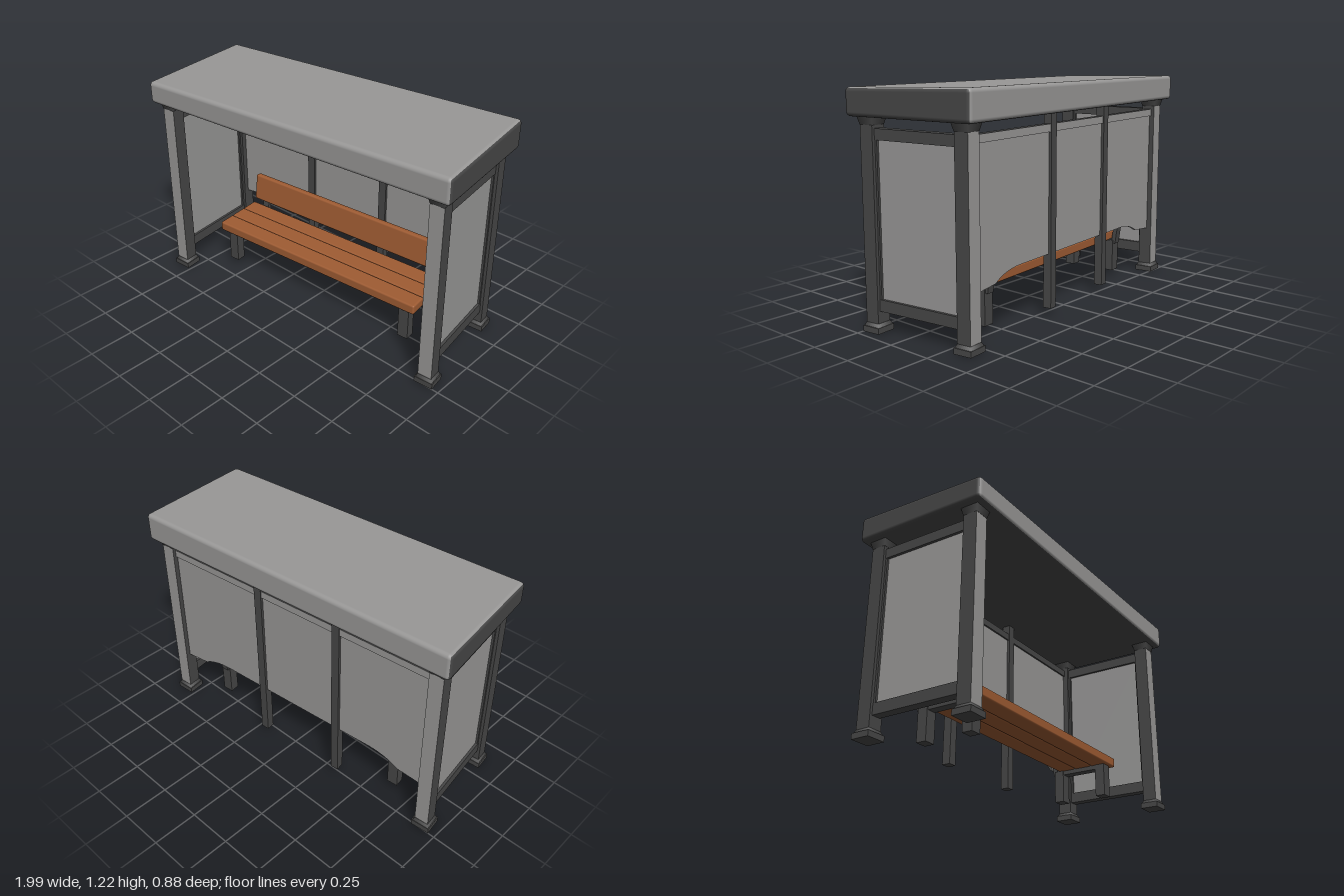
import * as THREE from 'three';
import { RoundedBoxGeometry } from 'three/addons/geometries/RoundedBoxGeometry.js';

const material = (name, color) => {
  const m = new THREE.MeshStandardMaterial({ color });
  m.name = name;
  return m;
};

export function createModel() {
  const light = material('light grey', 0x999897);
  const dark = material('dark grey', 0x474747);
  const wood = material('brown wood', 0x9f5c33);

  // The whole shelter stands slightly turned and skewed in plan
  const plan = new THREE.Matrix4().makeBasis(
    new THREE.Vector3(1, 0, -0.083),
    new THREE.Vector3(0, 1, 0),
    new THREE.Vector3(0.137, 0, 0.99));

  const model = new THREE.Group();
  model.name = 'shelter';

  const add = (name, geometry, mat, parent = model) => {
    geometry.applyMatrix4(plan);
    const mesh = new THREE.Mesh(geometry, mat);
    mesh.name = name;
    parent.add(mesh);
    return mesh;
  };
  const box = (name, mat, w, h, d, x, y, z, parent) =>
    add(name, new THREE.BoxGeometry(w, h, d).translate(x, y, z), mat, parent);
  const group = (name) => {
    const g = new THREE.Group();
    g.name = name;
    model.add(g);
    return g;
  };

  // Roof slab: dark ends and underside, top rising gently to the back
  const roof = new RoundedBoxGeometry(1.9, 0.14, 0.735, 3, 0.022);
  const p = roof.attributes.position;
  for (let i = 0; i < p.count; i++) {
    const rise = p.getY(i) > 0 ? 0.008 * p.getX(i) - 0.025 * p.getZ(i) : 0;
    p.setY(i, p.getY(i) + 1.132 + rise);
  }
  add('roof', roof, [dark, dark, light, dark, light, light]);

  // Corner posts: light on the outward front or back face, with feet and caps
  for (const sx of [-1, 1]) {
    for (const sz of [-1, 1]) {
      const post = group((sz > 0 ? 'front' : 'back') + (sx > 0 ? 'Left' : 'Right') + 'Post');
      const faces = [dark, dark, dark, dark, sz > 0 ? light : dark, sz < 0 ? light : dark];
      const x = sx * 0.865, z = sz * 0.28;
      box('shaft', faces, 0.078, 1.04, 0.076, x, 0.55, z, post);
      box('foot', dark, 0.105, 0.03, 0.1, x, 0.015, z, post);
      const collar = new THREE.CylinderGeometry(0.055, 0.068, 0.02, 4, 1)
        .rotateY(Math.PI / 4).translate(x, 0.038, z);
      add('footCollar', collar, dark, post);
      const cap = new THREE.CylinderGeometry(0.07, 0.055, 0.045, 4, 1)
        .rotateY(Math.PI / 4).translate(x, 1.045, z);
      add('cap', cap, dark, post);
    }

    // Framed side wall
    const side = group(sx > 0 ? 'leftWall' : 'rightWall');
    const x = sx * 0.865;
    box('topRail', dark, 0.05, 0.055, 0.5, x, 0.98, 0, side);
    box('bottomRail', dark, 0.05, 0.06, 0.5, x, 0.14, 0, side);
    for (const z of [-0.238, 0.238]) box('stile', dark, 0.045, 0.84, 0.014, x, 0.56, z, side);
    box('sidePanel', light, 0.022, 0.8, 0.48, x, 0.56, 0, side);
  }

  // Back wall: one sheet with a worn, arched lower edge
  const sheet = new THREE.Shape();
  sheet.moveTo(-0.84, 0.27);
  sheet.lineTo(-0.68, 0.285);
  sheet.quadraticCurveTo(-0.6, 0.34, -0.45, 0.335);
  sheet.lineTo(0.45, 0.335);
  sheet.quadraticCurveTo(0.6, 0.34, 0.68, 0.285);
  sheet.lineTo(0.84, 0.27);
  sheet.lineTo(0.84, 0.98);
  sheet.lineTo(-0.84, 0.98);
  sheet.closePath();
  const back = group('backWall');
  add('backPanel', new THREE.ExtrudeGeometry(sheet, { depth: 0.016, bevelEnabled: false })
    .translate(0, 0, -0.29), light, back);
  box('backRail', [dark, dark, dark, dark, dark, light], 1.68, 0.04, 0.036, 0, 0.985, -0.282, back);
  for (const x of [-0.287, 0.22]) box('mullion', dark, 0.046, 1.02, 0.046, x, 0.555, -0.282, back);

  // Bench: seat slats and a leaning backrest
  const bench = group('bench');
  for (let i = 0; i < 3; i++) {
    const slat = new RoundedBoxGeometry(1.37, 0.055, 0.104, 2, 0.01)
      .translate(0, 0.256, 0.09 - i * 0.106);
    add('seatSlat', slat, wood, bench);
  }
  const rest = new RoundedBoxGeometry(1.34, 0.16, 0.04, 2, 0.012)
    .rotateX(-0.14).translate(0, 0.39, -0.195);
  add('backrest', rest, wood, bench);

  // Bench supports
  for (const x of [-0.605, 0.615]) {
    for (const z of [0.095, -0.17]) box('benchLeg', dark, 0.062, 0.185, 0.056, x, 0.137, z, bench);
    box('seatBearer', dark, 0.05, 0.03, 0.3, x, 0.22, -0.035, bench);
    const bracket = new THREE.BoxGeometry(0.045, 0.22, 0.025)
      .rotateX(-0.14).translate(x, 0.32, -0.212);
    add('backrestBracket', bracket, dark, bench);
  }

  return model;
}
